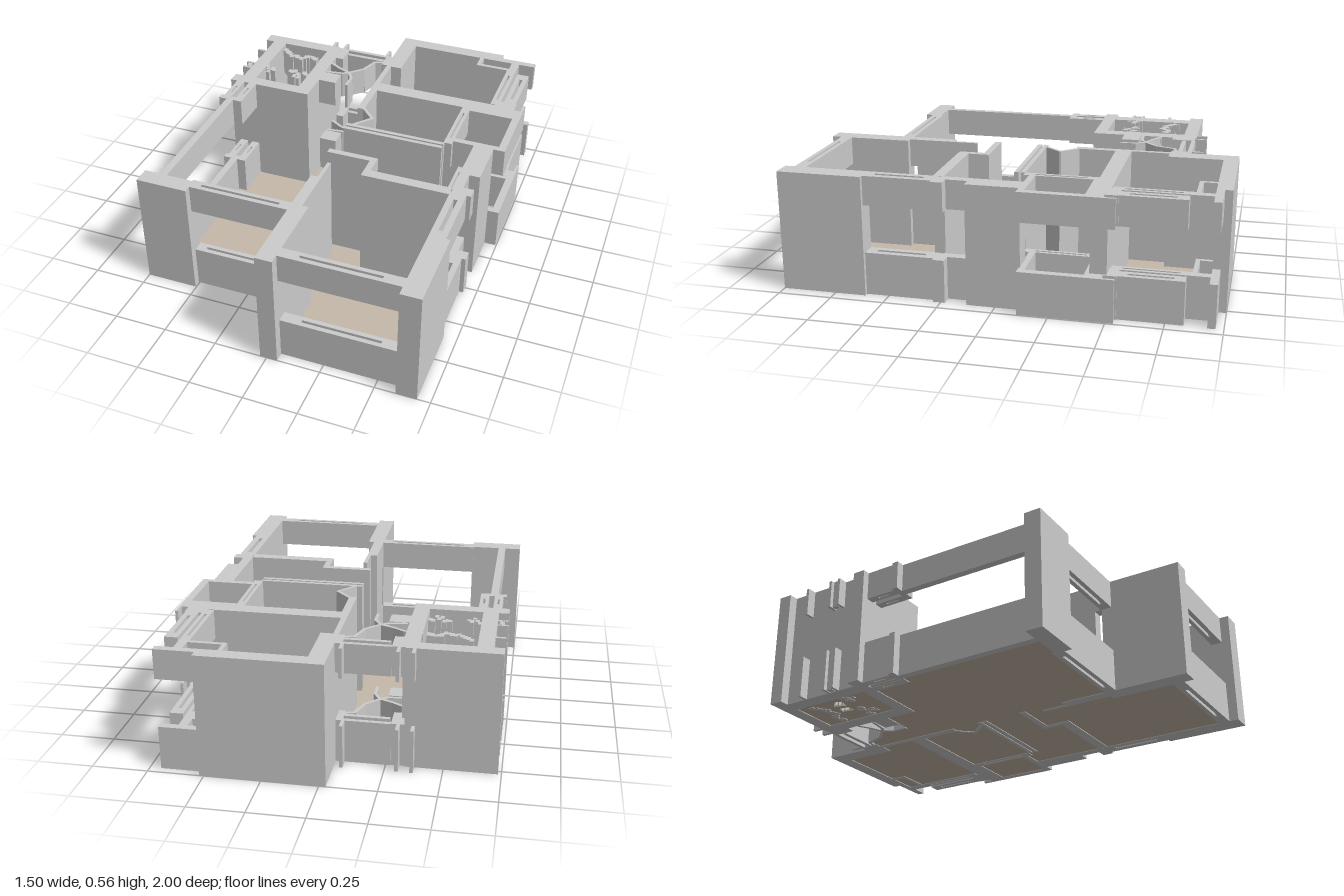
import * as THREE from 'three';

const TOP = 0.56, SILL = 0.2, HEAD = 0.424;

export function createModel() {
  const model = new THREE.Group();
  const wallMat = new THREE.MeshStandardMaterial({ color: 0xcccccc });
  const floorMat = new THREE.MeshStandardMaterial({ color: 0xc4b8a8, side: THREE.DoubleSide });

  const box = (name, x0, x1, z0, z1, y0, y1, rot = 0) => {
    const m = new THREE.Mesh(new THREE.BoxGeometry(x1 - x0, y1 - y0, z1 - z0), wallMat);
    m.position.set((x0 + x1) / 2, (y0 + y1) / 2, (z0 + z1) / 2);
    m.rotation.y = rot;
    m.name = name;
    model.add(m);
  };
  const wall = (name, x0, x1, z0, z1) => box(name, x0, x1, z0, z1, 0, TOP);
  // Sill below and header above, open between
  const split = (name, x0, x1, z0, z1, rot) => {
    box(name + 'Sill', x0, x1, z0, z1, 0, SILL, rot);
    box(name + 'Header', x0, x1, z0, z1, HEAD, TOP, rot);
  };
  // Window band made of two parallel rails closed by end blocks
  const win = (name, x0, x1, z0, z1, end = 0.05) => {
    const alongX = x1 - x0 > z1 - z0;
    const t = (alongX ? z1 - z0 : x1 - x0) * 0.38;
    if (alongX) {
      split(name, x0, x1, z0, z0 + t);
      split(name, x0, x1, z1 - t, z1);
      split(name, x0, x0 + end, z0 + t, z1 - t);
      split(name, x1 - end, x1, z0 + t, z1 - t);
    } else {
      split(name, x0, x0 + t, z0, z1);
      split(name, x1 - t, x1, z0, z1);
      split(name, x0 + t, x1 - t, z0, z0 + end);
      split(name, x0 + t, x1 - t, z1 - end, z1);
    }
  };
  // Thin split strips following a path of points
  const strip = (name, pts, t = 0.015) => {
    for (let i = 1; i < pts.length; i++) {
      const [ax, az] = pts[i - 1], [bx, bz] = pts[i];
      const l = Math.hypot(bx - ax, bz - az) + t * 0.5;
      const cx = (ax + bx) / 2, cz = (az + bz) / 2;
      split(name, cx - l / 2, cx + l / 2, cz - t / 2, cz + t / 2, -Math.atan2(bz - az, bx - ax));
    }
  };

  // Back bedroom
  wall('backWall', -0.03, 0.52, -1, -0.93);
  wall('backRoomLeftWall', -0.03, 0.05, -0.93, -0.675);
  wall('backRoomThinWall', -0.03, -0.005, -0.675, -0.49);
  wall('backRoomFrontWall', -0.03, 0.69, -0.495, -0.42);
  split('backCornerTab', 0.52, 0.7, -0.965, -0.93);
  split('backCornerStub', 0.41, 0.43, -0.93, -0.86);
  split('backCornerRail', 0.41, 0.6, -0.87, -0.85);
  split('backCornerPost', 0.58, 0.62, -0.93, -0.82);
  win('backRoomInnerWindow', 0.575, 0.62, -0.85, -0.5);
  win('backRoomOuterWindow', 0.635, 0.695, -0.83, -0.53);
  split('backRoomWindowEnd', 0.6, 0.7, -0.54, -0.48);
  split('sideSpur', 0.69, 0.745, -0.48, -0.43);
  split('sideSpurTip', 0.732, 0.745, -0.535, -0.48);

  // Kitchen and balcony
  wall('kitchenLeftWall', -0.03, 0.005, -0.42, -0.23);
  strip('kitchenDoor', [[0.0, -0.24], [0.07, -0.165], [0.0, -0.08]]);
  wall('kitchenFrontWall', -0.03, 0.46, -0.085, -0.065);
  wall('kitchenFrontWall', -0.03, 0.46, -0.055, -0.035);
  win('kitchenWindow', 0.455, 0.495, -0.42, -0.085);
  split('balconyBackRail', 0.49, 0.745, -0.43, -0.4);
  split('balconySideRail', 0.71, 0.745, -0.43, -0.115);
  split('balconyFrontRail', 0.49, 0.745, -0.14, -0.11);

  // Right side and front bedroom
  wall('rightPier', 0.595, 0.69, -0.115, 0.13);
  split('rightWindowReturn', 0.595, 0.64, 0.13, 0.26);
  split('rightWindowTab', 0.6, 0.69, 0.23, 0.285);
  win('rightWindow', 0.595, 0.67, 0.28, 0.61);
  wall('frontRightPier', 0.595, 0.69, 0.605, 1);
  wall('frontRoomLeftWall', -0.03, 0.05, 0.605, 1);
  win('frontRoomWindow', 0.05, 0.595, 0.9, 0.955, 0.09);
  wall('hallWall', -0.03, 0.21, 0.15, 0.18);
  wall('closetWall', 0.18, 0.21, 0.18, 0.3);
  wall('frontRoomBackWall', 0.21, 0.595, 0.25, 0.3);
  wall('frontRoomThinWall', 0.003, 0.02, 0.26, 0.57);
  wall('frontRoomThinWall', -0.03, 0.003, 0.38, 0.57);
  split('frontRoomDoorEnd', -0.03, 0.02, 0.57, 0.61);

  // Living room
  wall('frontLeftPier', -0.75, -0.505, 0.61, 0.69);
  win('livingFrontWindow', -0.51, -0.03, 0.6, 0.655);
  split('livingLeftWindow', -0.675, -0.64, -0.08, 0.61);
  win('leftBayWindow', -0.7, -0.66, -0.26, -0.1);
  win('leftBayWindow', -0.635, -0.595, -0.26, -0.1);
  split('leftBayEnd', -0.715, -0.595, -0.11, -0.08);

  // Bathroom block
  wall('bathBackWall', -0.735, -0.33, -0.775, -0.71);
  wall('bathLeftWall', -0.69, -0.62, -0.71, -0.32);
  wall('bathRightWall', -0.38, -0.31, -0.71, -0.26);
  wall('bathFrontWall', -0.735, -0.38, -0.32, -0.26);
  for (const z of [-0.6, -0.46, -0.41]) split('bathSpur', -0.735, -0.69, z - 0.007, z + 0.007);
  split('bathSpurLink', -0.72, -0.7, -0.45, -0.42);

  // Jagged fixture outlines in the bathroom
  let seed = 7;
  const rnd = () => (seed = (seed * 16807) % 2147483647) / 2147483647;
  for (const [x0, x1, z0, z1, n] of [
    [-0.6, -0.4, -0.645, -0.585, 14], [-0.62, -0.56, -0.46, -0.4, 5], [-0.49, -0.39, -0.47, -0.4, 8],
  ]) {
    for (let i = 0; i < n; i++) {
      const x = x0 + ((x1 - x0) * (i + 0.5)) / n, z = z0 + (z1 - z0) * rnd();
      split('fixture', x - 0.009, x + 0.009, z - 0.008 - 0.012 * rnd(), z + 0.008 + 0.012 * rnd());
    }
  }

  // Entry porch with swung doors
  split('porchSpur', -0.375, -0.36, -0.825, -0.77);
  split('porchSpur', -0.31, -0.295, -0.825, -0.68);
  split('porchSpur', -0.07, -0.055, -0.83, -0.76);
  split('porchLeftBlock', -0.33, -0.27, -0.77, -0.66);
  split('porchOuterRail', -0.27, -0.03, -0.775, -0.755);
  split('porchInnerRail', -0.26, -0.05, -0.73, -0.71);
  split('porchRightPost', -0.06, -0.03, -0.755, -0.68);
  split('porchFrontBlock', -0.31, -0.22, -0.5, -0.415);
  strip('porchDoorArc', [[-0.38, -0.61], [-0.3, -0.595], [-0.25, -0.565], [-0.19, -0.54], [-0.13, -0.6], [-0.1, -0.69], [-0.06, -0.7]]);
  strip('porchDoorArc', [[-0.3, -0.51], [-0.22, -0.52], [-0.19, -0.54], [-0.16, -0.49], [-0.16, -0.42]]);

  // Floors: plan outlines in x and z
  const slab = (name, pts, holes = []) => {
    const s = new THREE.Shape(pts.map(p => new THREE.Vector2(...p)));
    s.holes = holes.map(h => new THREE.Path(h.map(p => new THREE.Vector2(...p))));
    const g = new THREE.ExtrudeGeometry(s, { depth: 0.008, bevelEnabled: false });
    g.rotateX(Math.PI / 2).translate(0, 0.011, 0);
    const m = new THREE.Mesh(g, floorMat);
    m.name = name;
    model.add(m);
  };
  slab('mainFloor', [
    [-0.645, -0.26], [-0.315, -0.26], [-0.315, -0.415], [-0.16, -0.415], [-0.16, -0.48], [-0.19, -0.54],
    [-0.12, -0.6], [-0.09, -0.68], [0.045, -0.68], [0.045, -0.935], [0.6, -0.935], [0.6, -0.43], [0.72, -0.43],
    [0.72, -0.12], [0.6, -0.12], [0.6, 0.91], [0.045, 0.91], [0.045, 0.61], [-0.645, 0.61],
  ]);
  slab('bathFloor', [[-0.63, -0.715], [-0.37, -0.715], [-0.37, -0.315], [-0.63, -0.315]], [
    [[-0.59, -0.51], [-0.55, -0.55], [-0.53, -0.49], [-0.58, -0.48]],
    [[-0.52, -0.54], [-0.48, -0.55], [-0.47, -0.49], [-0.51, -0.49]],
  ]);
  return model;
}
